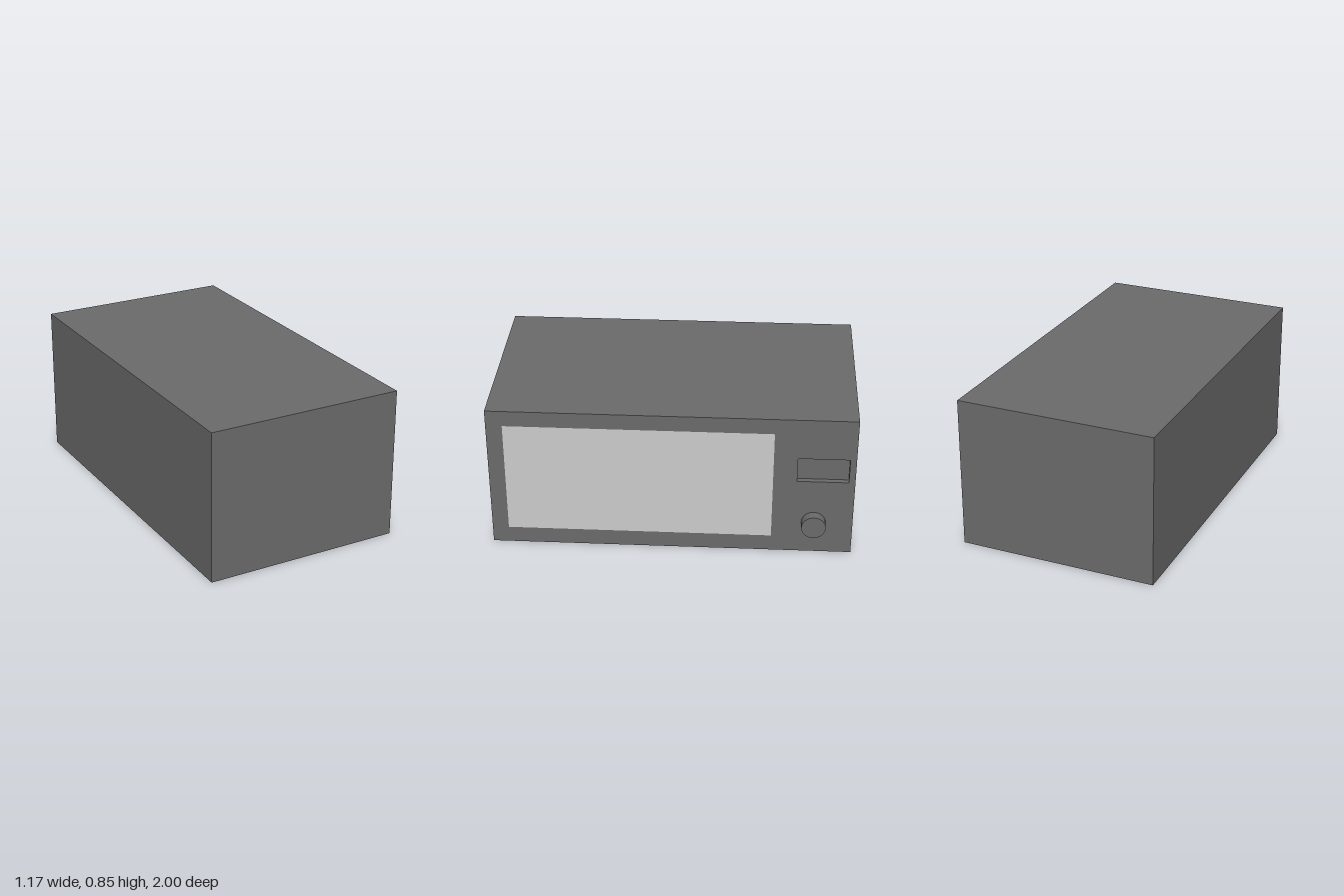
import * as THREE from 'three';

const BACK = -0.585, FACE = 0.53, HEIGHT = 0.846, PANEL = 0.03;
const dark = new THREE.MeshStandardMaterial({ color: 0x6b6b6b, flatShading: true });
const light = new THREE.MeshStandardMaterial({ color: 0xcccccc });

// Rectangle on the control face: u runs along -z, v runs up
const rect = (PathType, u0, u1, v0, v1) => {
  const p = new PathType();
  p.moveTo(u0, v0);
  p.lineTo(u1, v0);
  p.lineTo(u1, v1);
  p.lineTo(u0, v1);
  p.closePath();
  return p;
};

export function createModel() {
  const group = new THREE.Group();
  const add = (name, geometry, material, x, y, z) => {
    const mesh = new THREE.Mesh(geometry, material);
    mesh.name = name;
    mesh.position.set(x, y, z);
    group.add(mesh);
    return mesh;
  };

  // Main casing behind the face panel
  const inner = FACE - PANEL;
  add('casing', new THREE.BoxGeometry(inner - BACK, HEIGHT, 2), dark,
    (inner + BACK) / 2, HEIGHT / 2, 0);

  // Face panel with openings for the window and the display recess
  const win = [-0.91, 0.555, 0.095, 0.755];
  const face = rect(THREE.Shape, -1, 1, 0, HEIGHT);
  face.holes.push(rect(THREE.Path, ...win), rect(THREE.Path, 0.685, 0.965, 0.46, 0.605));
  const panel = new THREE.ExtrudeGeometry(face, { depth: PANEL, bevelEnabled: false });
  panel.rotateY(Math.PI / 2);
  add('facePanel', panel, dark, inner, 0, 0);

  // Window set flush with the panel
  const [u0, u1, v0, v1] = win;
  add('doorWindow', new THREE.BoxGeometry(PANEL, v1 - v0, u1 - u0), light,
    FACE - PANEL / 2, (v0 + v1) / 2, -(u0 + u1) / 2);

  // Round control knob
  const knob = new THREE.CylinderGeometry(0.067, 0.067, 0.055, 32);
  knob.rotateZ(-Math.PI / 2);
  add('controlKnob', knob, dark, FACE + 0.0275, 0.193, -0.785);

  return group;
}
